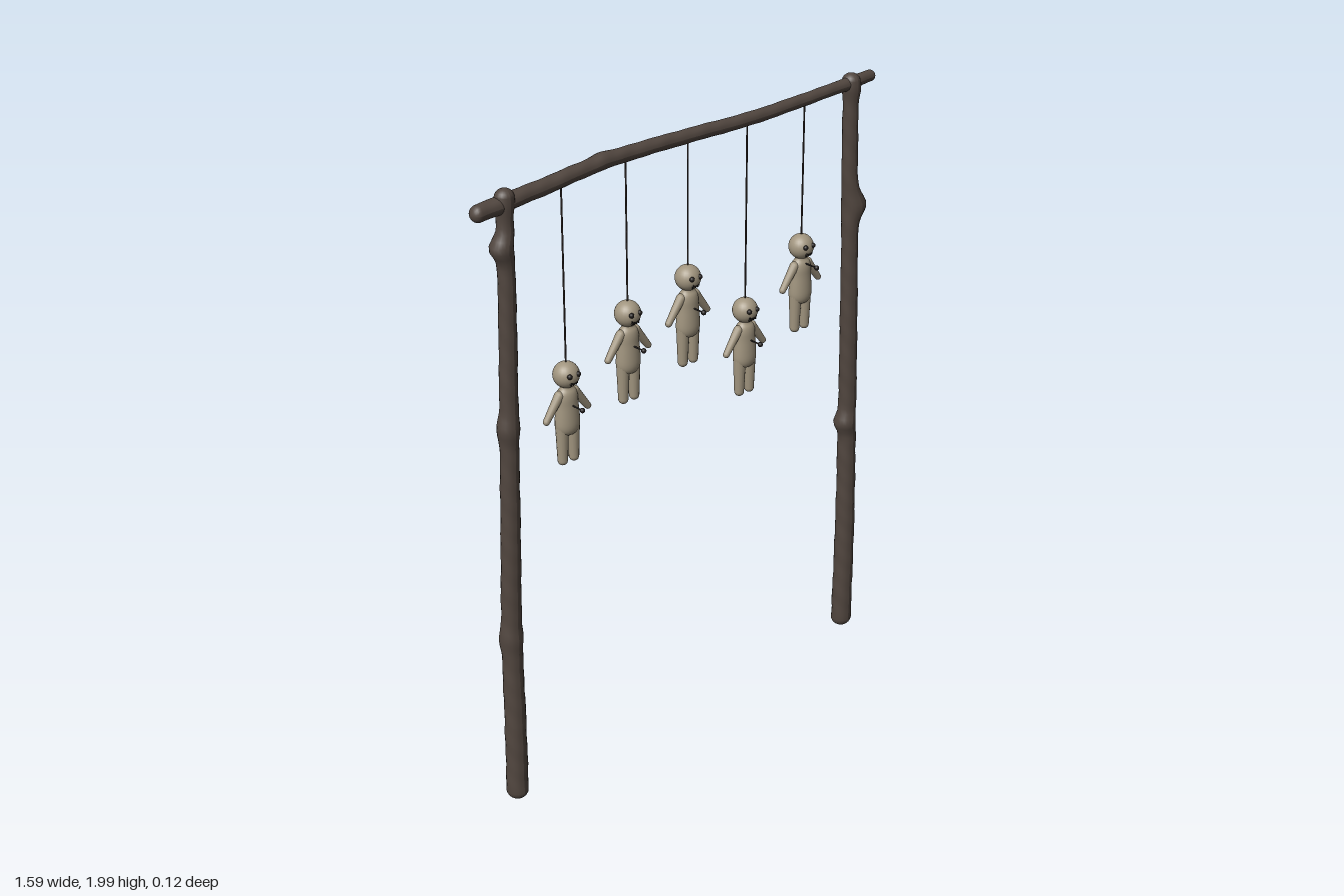
import * as THREE from 'three';

const mat = (name, color) => {
  const m = new THREE.MeshStandardMaterial({ color });
  m.name = name;
  return m;
};
const wood = mat('dark wood', 0x51463f);
const cloth = mat('sackcloth', 0xa1957f);
const cord = mat('cord', 0x352c29);
const black = mat('black thread', 0x1f1b1a);

const V = (x, y, z) => new THREE.Vector3(x, y, z);

function add(parent, name, geo, material, pos = [0, 0, 0]) {
  const m = new THREE.Mesh(geo, material);
  m.name = name;
  m.position.set(...pos);
  parent.add(m);
  return m;
}

// Upright log with rounded ends; the centre line follows bends [y, x, z]
// and knots [y, x offset, z offset, extra radius, half height] swell it locally.
function logGeometry(y0, y1, r0, r1, bends, knots, seed) {
  const profile = [];
  const rings = 110;
  for (let i = 0; i <= 6; i++) {
    const a = (i / 6) * Math.PI / 2;
    profile.push(new THREE.Vector2(r0 * Math.sin(a), y0 + r0 * 0.9 * (1 - Math.cos(a))));
  }
  for (let i = 1; i < rings; i++) {
    const t = i / rings;
    profile.push(new THREE.Vector2(r0 + (r1 - r0) * t, THREE.MathUtils.lerp(y0 + r0 * 0.9, y1 - r1 * 0.9, t)));
  }
  for (let i = 0; i <= 6; i++) {
    const a = (i / 6) * Math.PI / 2;
    profile.push(new THREE.Vector2(r1 * Math.cos(a), y1 - r1 * 0.9 * (1 - Math.sin(a))));
  }
  const geo = new THREE.LatheGeometry(profile, 20);
  const curve = new THREE.CatmullRomCurve3(bends.map(([y, x, z]) => V(x, y, z)));
  const line = curve.getPoints(200);
  const p = geo.attributes.position;
  for (let i = 0; i < p.count; i++) {
    const x = p.getX(i), y = p.getY(i), z = p.getZ(i);
    const a = Math.atan2(z, x);
    // gentle bark unevenness
    let s = 1 + 0.02 * Math.sin(y * 37 + seed + Math.cos(a) * 2) + 0.02 * Math.sin(y * 83 + seed * 2 + Math.sin(a) * 3);
    let dx = 0, dz = 0;
    for (const [ky, kx, kz, kr, kh] of knots) {
      const w = Math.exp(-(((y - ky) / kh) ** 2));
      s += w * kr / r0;
      dx += w * kx;
      dz += w * kz;
    }
    let k = line.findIndex((q) => q.y >= y);
    if (k < 0) k = line.length - 1;
    const q1 = line[k], q0 = line[Math.max(k - 1, 0)];
    const f = q1.y > q0.y ? THREE.MathUtils.clamp((y - q0.y) / (q1.y - q0.y), 0, 1) : 0;
    p.setXYZ(i, x * s + q0.x + (q1.x - q0.x) * f + dx, y, z * s + q0.z + (q1.z - q0.z) * f + dz);
  }
  geo.computeVertexNormals();
  return geo;
}

// Round-ended tapered limb between two points
function limb(parent, name, a, b, ra, rb, material) {
  const dir = b.clone().sub(a);
  const len = dir.length();
  const pts = [];
  for (let i = 0; i <= 6; i++) {
    const t = (i / 6) * Math.PI / 2;
    pts.push(new THREE.Vector2(ra * Math.sin(t), -ra * Math.cos(t)));
  }
  for (let i = 0; i <= 6; i++) {
    const t = (i / 6) * Math.PI / 2;
    pts.push(new THREE.Vector2(rb * Math.cos(t), len + rb * Math.sin(t)));
  }
  const m = add(parent, name, new THREE.LatheGeometry(pts, 14), material, a.toArray());
  m.quaternion.setFromUnitVectors(V(0, 1, 0), dir.normalize());
}

// Stuffed doll, origin at the top of its head
function doll(pinY, crossed) {
  const g = new THREE.Group();
  g.name = 'doll';
  add(g, 'head', new THREE.SphereGeometry(0.04, 24, 18), cloth, [0, -0.04, 0]);
  const outline = [[0, -0.232], [0.022, -0.229], [0.035, -0.219], [0.041, -0.2], [0.04, -0.17],
    [0.037, -0.135], [0.036, -0.11], [0.031, -0.092], [0.021, -0.08], [0.017, -0.066]];
  const curve = new THREE.SplineCurve(outline.map(([x, y]) => new THREE.Vector2(x, y)));
  const pts = curve.getPoints(27);
  pts.forEach((q) => { q.x = Math.max(q.x, 0); });
  add(g, 'torso', new THREE.LatheGeometry(pts, 24), cloth).scale.z = 0.75;

  for (const s of [-1, 1]) {
    limb(g, 'arm', V(s * 0.029, -0.1, 0), V(s * 0.079, -0.167, 0), 0.015, 0.0105, cloth);
    limb(g, 'leg', V(s * 0.021, -0.205, 0), V(s * 0.0215, -0.311, 0), 0.02, 0.0155, cloth);
    add(g, 'eye', new THREE.SphereGeometry(0.008, 12, 10), black, [s * 0.016, -0.032, 0.035]);
  }

  // stitched mouth
  limb(g, 'mouth', V(-0.012, -0.057, 0.034), V(0.012, -0.057, 0.034), 0.003, 0.003, black);
  for (let i = -1; i <= 1; i++) {
    const x = i * 0.01, d = crossed ? 0.004 : 0;
    limb(g, 'stitch', V(x - d, -0.052, 0.035), V(x + d, -0.063, 0.032), 0.0022, 0.0022, black);
    if (crossed) limb(g, 'stitch', V(x + d, -0.052, 0.035), V(x - d, -0.063, 0.032), 0.0022, 0.0022, black);
  }

  // pin stuck in the chest
  limb(g, 'pin', V(0, pinY, 0.012), V(0, pinY, 0.066), 0.0025, 0.0025, black);
  add(g, 'pinHead', new THREE.SphereGeometry(0.008, 12, 10), black, [0, pinY, 0.068]);
  return g;
}

export function createModel() {
  const model = new THREE.Group();
  model.name = 'hangingFrame';

  // posts
  add(model, 'rightPost', logGeometry(0.003, 1.99, 0.034, 0.024,
    [[0, -0.722, -0.012], [0.3, -0.717, -0.015], [0.57, -0.712, -0.022], [0.9, -0.704, -0.018],
      [1.27, -0.698, -0.012], [1.6, -0.688, -0.012], [2, -0.682, -0.012]],
    [[0.57, 0, -0.002, 0.006, 0.035], [1.27, -0.003, 0, 0.008, 0.035],
      [1.82, -0.016, 0, 0.014, 0.032], [1.955, 0, 0, 0.007, 0.03]], 1), wood);
  add(model, 'leftPost', logGeometry(0.003, 1.996, 0.034, 0.024,
    [[0, 0.728, -0.012], [0.4, 0.731, -0.012], [0.8, 0.726, -0.014], [1.1, 0.717, -0.012],
      [1.5, 0.705, -0.012], [1.75, 0.694, -0.012], [2, 0.69, -0.012]],
    [[0.79, -0.012, 0, 0.007, 0.028], [1.56, 0.017, 0, 0.018, 0.045],
      [1.955, 0, 0, 0.009, 0.032]], 4), wood);

  // cross beam, built upright and laid along x
  const beam = add(model, 'crossBeam', logGeometry(-0.795, 0.793, 0.025, 0.018,
    [[-0.8, -1.938, -0.016], [-0.55, -1.953, -0.018], [-0.3, -1.967, -0.024], [0, -1.963, -0.02],
      [0.25, -1.957, -0.012], [0.5, -1.96, -0.012], [0.8, -1.967, -0.015]],
    [[-0.32, -0.003, -0.002, 0.003, 0.03], [-0.69, 0, 0, 0.002, 0.04], [0.69, 0, 0, 0.004, 0.04]], 7), wood);
  beam.rotation.z = -Math.PI / 2;

  // dolls on cords: x, top of head, pin height below it, crossed stitches
  const hung = [[-0.48, 1.405, -0.132, false], [-0.24, 1.522, -0.138, true], [0.002, 1.563, -0.133, false],
    [0.244, 1.382, -0.135, true], [0.487, 1.523, -0.093, false]];
  for (const [x, top, pinY, crossed] of hung) {
    const d = doll(pinY, crossed);
    d.position.set(x, top, -0.014);
    model.add(d);
    const len = 1.96 - top;
    add(model, 'cord', new THREE.CylinderGeometry(0.0027, 0.0027, len, 8), cord, [x, 1.955 - len / 2, -0.014]);
  }
  return model;
}
